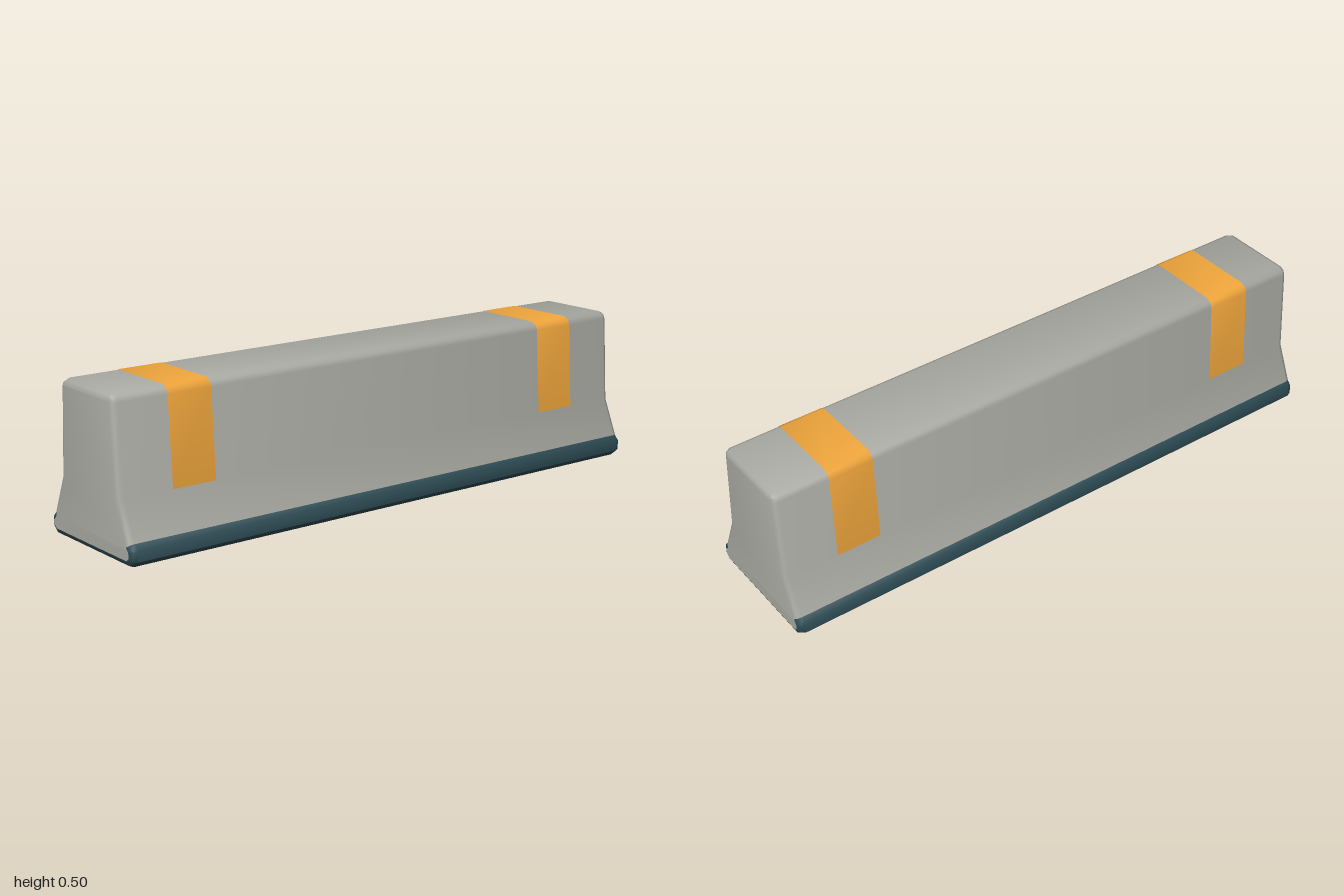
import * as THREE from 'three';
import { toCreasedNormals } from 'three/addons/utils/BufferGeometryUtils.js';

// Half cross-section [z, y] from the base up to the top
const HALF = [
  [0.205, 0], [0.23, 0.02], [0.23, 0.055], [0.215, 0.072], [0.163, 0.193],
  [0.146, 0.475], [0.139, 0.491], [0.122, 0.5],
];
const mirror = (half) => [...half, ...half.slice().reverse().map(([z, y]) => [-z, y])];
const PROFILE = mirror(HALF);
const N = PROFILE.length;

// Moves a closed profile inwards by d with mitred corners (negative d grows it)
function inset(points, d) {
  const n = points.length;
  const normal = (a, b) => {
    const z = b[0] - a[0], y = b[1] - a[1], len = Math.hypot(z, y);
    return [y / len, -z / len];
  };
  return points.map((p, i) => {
    const m = normal(points[(i + n - 1) % n], p);
    const k = normal(p, points[(i + 1) % n]);
    const s = d / (1 + m[0] * k[0] + m[1] * k[1]);
    return [p[0] - (m[0] + k[0]) * s, p[1] - (m[1] + k[1]) * s];
  });
}

function makeGeometry(positions, index) {
  const geometry = new THREE.BufferGeometry();
  geometry.setAttribute('position', new THREE.Float32BufferAttribute(positions, 3));
  geometry.setIndex(index);
  return toCreasedNormals(geometry, 0.85);
}

// Skins the chosen profile segments along rings of { x, points }; capped closes both ends
function skin(rings, segments, capped) {
  const positions = [], index = [];
  const n = rings[0].points.length;
  rings.forEach(({ x, points }) => points.forEach(([z, y]) => positions.push(x, y, z)));
  const quad = (a, b, c, d) => index.push(a, b, c, a, c, d);
  for (let r = 0; r < rings.length - 1; r++) {
    for (const j of segments) {
      const k = (j + 1) % n;
      quad(r * n + j, (r + 1) * n + j, (r + 1) * n + k, r * n + k);
    }
  }
  if (capped) {
    const last = (rings.length - 1) * n;
    for (let j = 0; j < n / 2 - 1; j++) {
      const a = j, b = j + 1, c = n - 2 - j, d = n - 1 - j;
      quad(a, b, c, d);
      quad(last + d, last + c, last + b, last + a);
    }
  }
  return makeGeometry(positions, index);
}

export function createModel() {
  const group = new THREE.Group();
  const add = (name, geometry, color) => {
    const mesh = new THREE.Mesh(geometry, new THREE.MeshStandardMaterial({ color }));
    mesh.name = name;
    group.add(mesh);
  };

  // Rounded ends: the section shrinks towards x = -1 and x = 1
  const ends = [[1, 0.02], [0.994, 0.006], [0.98, 0]];
  const rings = [
    ...ends.map(([x, d]) => ({ x: -x, points: inset(PROFILE, d) })),
    ...ends.slice().reverse().map(([x, d]) => ({ x, points: inset(PROFILE, d) })),
  ];

  // The lowest three segments on each side and the underside form the dark base
  const all = PROFILE.map((_, j) => j);
  const isBase = (j) => j < 3 || j > N - 5;
  add('concreteBody', skin(rings, all.filter((j) => !isBase(j)), true), 0xa9aaa3);
  add('baseBand', skin(rings, all.filter(isBase), false), 0x2e4c55);

  // Yellow bands wrapping the upper faces
  const wrap = inset(PROFILE, -0.0015);
  const upper = all.filter((j) => j >= 4 && j <= N - 6);
  for (const [name, x] of [['rightStripe', -0.738], ['leftStripe', 0.738]]) {
    const band = [-0.076, 0.076].map((dx) => ({ x: x + dx, points: wrap }));
    add(name, skin(band, upper, false), 0xf0a63c);
  }
  return group;
}
